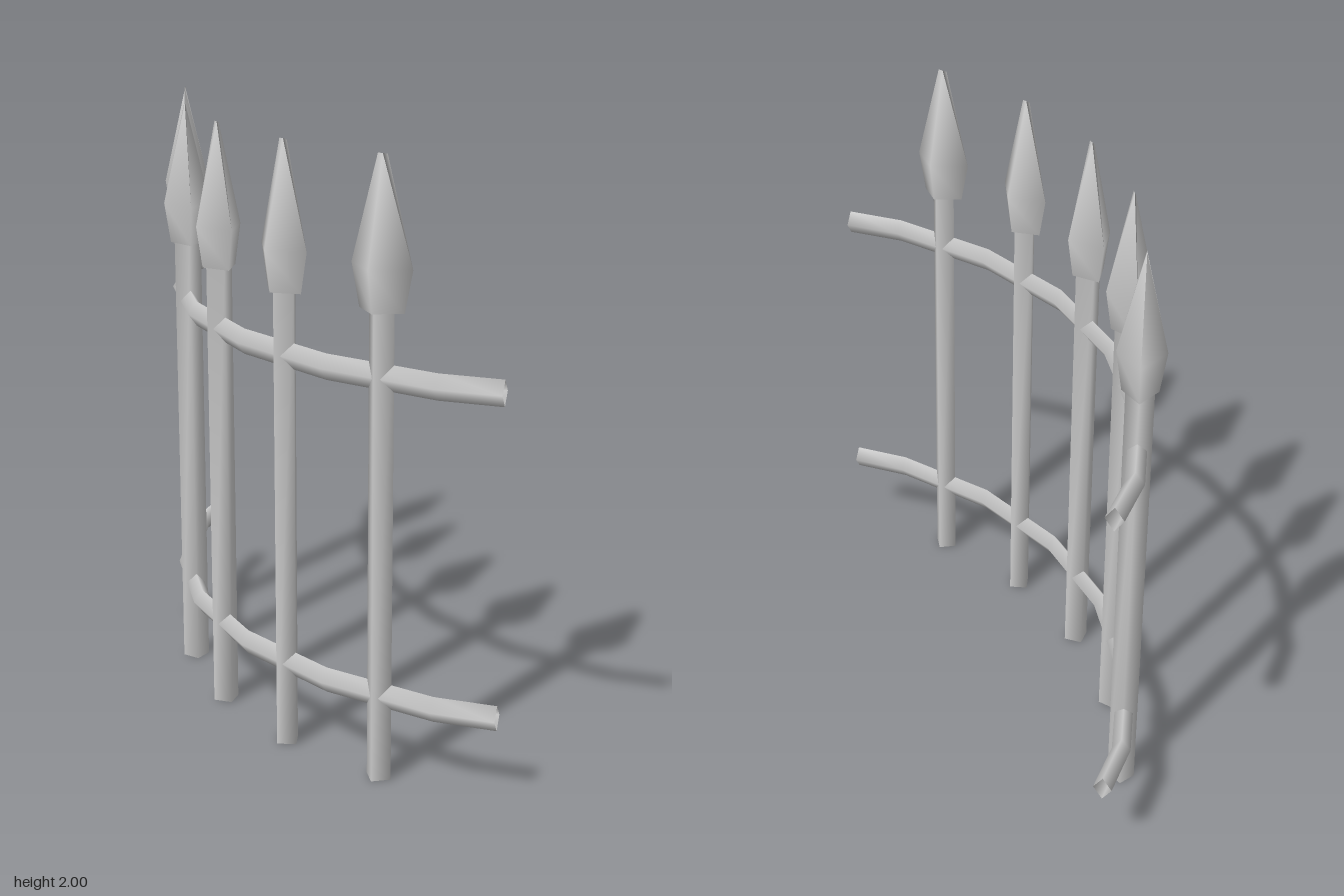
import * as THREE from 'three';
import { mergeVertices } from 'three/addons/utils/BufferGeometryUtils.js';

const CENTRE = 0.765;   // the arc is centred on (CENTRE, -CENTRE) in x, z
const RADIUS = 1.505;
const STEP = Math.PI / 12;

const material = new THREE.MeshStandardMaterial({ color: 0xcccccc, side: THREE.DoubleSide });

function arcPoint(angle, radius = RADIUS) {
  return [CENTRE - radius * Math.sin(angle), -CENTRE + radius * Math.cos(angle)];
}

// Weld the seam so the shading runs smoothly around the four sides
function smooth(geometry) {
  geometry.deleteAttribute('uv');
  geometry.deleteAttribute('normal');
  const welded = mergeVertices(geometry);
  welded.computeVertexNormals();
  return welded;
}

// Spearhead: diamond section, pinched to a short ridge at the tip
function finialGeometry() {
  const profile = [[0.08, 1.53], [0.108, 1.665], [0.017, 2]];
  const geometry = new THREE.LatheGeometry(profile.map(([r, y]) => new THREE.Vector2(r, y)), 4);
  const pos = geometry.attributes.position;
  for (let i = 0; i < pos.count; i++) {
    const pinch = pos.getY(i) > 1.9 ? 0 : 0.72;
    pos.setZ(i, pos.getZ(i) * pinch);
  }
  return smooth(geometry);
}

// Rail: diamond section swept through mitred straight runs
function railGeometry() {
  const stations = [{ x: 0.77, z: RADIUS + 0.001 - CENTRE, angle: 0 }];
  for (let i = 0; i < 6; i++) {
    const angle = (i + 0.5) * STEP;
    const [x, z] = arcPoint(angle, RADIUS / Math.cos(STEP / 2));
    stations.push({ x, z, angle });
  }
  stations.push({ x: CENTRE - RADIUS - 0.001, z: -0.77, angle: Math.PI / 2 });

  const section = [[0.031, 0], [0, 0.042], [-0.031, 0], [0, -0.042]];
  const positions = [];
  const index = [];
  stations.forEach(({ x, z, angle }, i) => {
    for (const [out, up] of section) {
      positions.push(x - out * Math.sin(angle), up, z + out * Math.cos(angle));
    }
    if (i === 0) return;
    for (let j = 0; j < 4; j++) {
      const k = (j + 1) % 4;
      const a = (i - 1) * 4 + j, b = (i - 1) * 4 + k;
      const c = i * 4 + k, d = i * 4 + j;
      index.push(a, b, c, a, c, d);
    }
  });
  const geometry = new THREE.BufferGeometry();
  geometry.setAttribute('position', new THREE.Float32BufferAttribute(positions, 3));
  geometry.setIndex(index);
  geometry.computeVertexNormals();
  return geometry;
}

export function createModel() {
  const model = new THREE.Group();
  model.name = 'curvedFence';

  const add = (parent, name, geometry) => {
    const mesh = new THREE.Mesh(geometry, material);
    mesh.name = name;
    parent.add(mesh);
    return mesh;
  };

  // Five pickets, each turned to follow the arc
  const postGeometry = smooth(new THREE.CylinderGeometry(0.045, 0.045, 1.56, 4, 1, true));
  postGeometry.translate(0, 0.78, 0);
  const headGeometry = finialGeometry();
  const baseGeometry = new THREE.CircleGeometry(0.08, 4);
  baseGeometry.rotateX(Math.PI / 2).scale(1, 1, 0.72).translate(0, 1.53, 0);
  for (let i = 1; i <= 5; i++) {
    const picket = new THREE.Group();
    picket.name = 'picket' + i;
    const [x, z] = arcPoint(i * STEP);
    picket.position.set(x, 0, z);
    picket.rotation.y = -i * STEP;
    add(picket, 'post', postGeometry);
    add(picket, 'spearhead', headGeometry);
    add(picket, 'spearheadBase', baseGeometry);
    model.add(picket);
  }

  // Lower and upper rails
  const rail = railGeometry();
  add(model, 'lowerRail', rail).position.y = 0.285;
  add(model, 'upperRail', rail).position.y = 1.325;

  return model;
}
